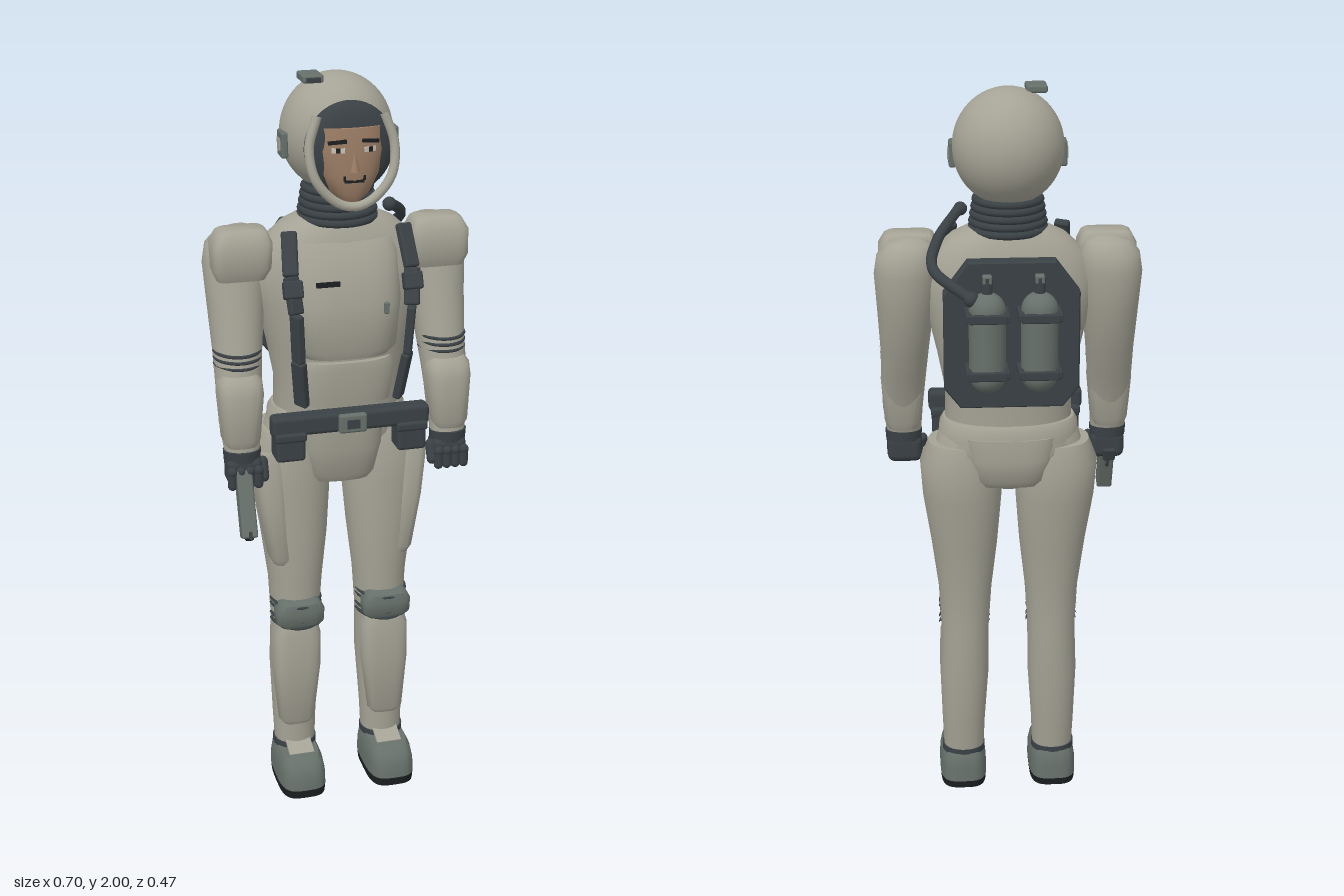
import * as THREE from 'three';
import { toCreasedNormals } from 'three/addons/utils/BufferGeometryUtils.js';
import { RoundedBoxGeometry } from 'three/addons/geometries/RoundedBoxGeometry.js';

const mat = (name, color) => Object.assign(new THREE.MeshStandardMaterial({ color }), { name });

export function createModel() {
  const suit = mat('suitGrey', 0xa5a395), dark = mat('darkWebbing', 0x3a4145), green = mat('greyGreen', 0x66706a);
  const skin = mat('skin', 0x9c7e66), black = mat('black', 0x1c1f21), white = mat('eyeWhite', 0xc8c4b8);
  const model = new THREE.Group();
  model.name = 'spaceSuitFigure';
  const V = (x, y, z) => new THREE.Vector3(x, y, z);

  function add(name, geo, material, x = 0, y = 0, z = 0) {
    const m = new THREE.Mesh(geo, material);
    m.name = name;
    m.position.set(x, y, z);
    model.add(m);
    return m;
  }
  const box = (name, m, w, h, d, x, y, z, r = 0.006) =>
    add(name, r ? new RoundedBoxGeometry(w, h, d, 2, Math.min(r, w / 3, h / 3, d / 3)) : new THREE.BoxGeometry(w, h, d), m, x, y, z);
  // rounded cross-sections [y, centreX, centreZ, radiusX, radiusZ] from bottom to top; power sets squareness
  function loft(name, m, rows, power = 2, side = 1, seg = 36) {
    const pos = [], idx = [], p = 2 / power;
    const sp = v => Math.sign(v) * Math.abs(v) ** p;
    for (const [y, cx, cz, rx, rz] of rows)
      for (let j = 0; j < seg; j++) {
        const t = (j / seg) * Math.PI * 2;
        pos.push(cx * side + rx * sp(Math.cos(t)), y, cz + rz * sp(Math.sin(t)));
      }
    const n = rows.length, top = n * seg + 1, last = rows[n - 1];
    pos.push(rows[0][1] * side, rows[0][0], rows[0][2], last[1] * side, last[0], last[2]);
    for (let j = 0; j < seg; j++) {
      const k = (j + 1) % seg, e = (n - 1) * seg;
      for (let i = 0; i < n - 1; i++) {
        const a = i * seg + j, b = i * seg + k;
        idx.push(a, a + seg, b, b, a + seg, b + seg);
      }
      idx.push(top - 1, j, k, top, e + k, e + j);
    }
    const g = new THREE.BufferGeometry();
    g.setAttribute('position', new THREE.Float32BufferAttribute(pos, 3));
    g.setIndex(idx);
    return add(name, toCreasedNormals(g, 0.7), m);
  }
  // flat bar from a to b
  function bar(name, m, a, b, w, d) {
    const o = box(name, m, w, a.distanceTo(b), d, 0, 0, 0);
    o.position.copy(a).lerp(b, 0.5);
    o.quaternion.setFromUnitVectors(V(0, 1, 0), b.clone().sub(a).normalize());
    return o;
  }
  const tube = (name, m, pts, r) => add(name, new THREE.TubeGeometry(new THREE.CatmullRomCurve3(pts), 40, r, 10), m);
  // thin fold around the front of a limb
  function fold(name, x, y, z, rx, rz) {
    const g = new THREE.TorusGeometry(1, 0.07, 6, 20, Math.PI);
    g.rotateX(Math.PI / 2);
    add(name, g, dark, x, y, z).scale.set(rx, 0.06, rz);
  }

  // torso and pelvis
  loft('torso', suit, [[1.08, 0, .015, .17, .11], [1.2, 0, .02, .168, .117], [1.3, 0, .02, .187, .125], [1.42, 0, .022, .215, .128],
    [1.5, 0, .022, .228, .122], [1.57, 0, .022, .2, .108], [1.615, 0, .022, .15, .095], [1.64, 0, .022, .095, .08]], 2.2);
  loft('chestPlate', suit, [[1.285, 0, .06, .12, .105], [1.305, 0, .06, .14, .112], [1.43, 0, .06, .148, .125], [1.55, 0, .06, .145, .085], [1.585, 0, .06, .135, .065]], 3.2);
  loft('abdomenPlate', suit, [[1.15, 0, .05, .13, .095], [1.25, 0, .05, .14, .11], [1.272, 0, .05, .13, .108]], 3);
  loft('pelvis', suit, [[.93, 0, 0, .05, .05], [.98, 0, 0, .13, .095], [1.04, 0, 0, .2, .11], [1.09, 0, .005, .185, .112], [1.12, 0, .01, .172, .105]], 2.2);
  loft('waistBand', suit, [[1.07, 0, .008, .188, .12], [1.11, 0, .008, .184, .12], [1.125, 0, .01, .175, .113]], 2.2);
  loft('frontHipPlate', suit, [[.92, 0, .06, .075, .045], [.94, 0, .06, .09, .056], [1.02, 0, .06, .106, .075], [1.1, 0, .06, .112, .08]], 3);
  loft('rearHipPlate', suit, [[.95, 0, -.04, .085, .052], [.97, 0, -.04, .1, .068], [1.03, 0, -.04, .12, .078], [1.09, 0, -.04, .13, .074]], 3);
  box('chestSlot', black, .06, .012, .008, -.06, 1.49, .167, 0);
  box('chestTab', green, .014, .03, .012, .09, 1.42, .177, .003);

  // belt
  box('belt', dark, .42, .054, .05, 0, 1.118, .155, .012);
  box('buckle', green, .074, .05, .02, 0, 1.118, .185);
  box('buckleInset', dark, .034, .024, .008, 0, 1.118, .194, 0);

  // neck rings
  add('neck', new THREE.CylinderGeometry(.082, .09, .12, 32), dark, 0, 1.67, .025);
  for (let i = 0; i < 5; i++) {
    const g = new THREE.TorusGeometry(.096 - i * .003, .01, 8, 36);
    g.rotateX(Math.PI / 2);
    add('neckRing', g, dark, 0, 1.63 + i * .019, .025);
  }

  // helmet and face opening
  add('helmet', new THREE.SphereGeometry(.143, 48, 32), suit, 0, 1.843, .014).scale.y = 1.05;
  const hood = add('visorHood', new THREE.SphereGeometry(1, 36, 24), dark, 0, 1.83, .138);
  hood.scale.set(.114, .118, .044);
  hood.rotation.x = .06;
  loft('face', skin, [[1.7, 0, .145, .022, .035], [1.725, 0, .145, .05, .046], [1.77, 0, .145, .073, .05], [1.83, 0, .145, .085, .05], [1.888, 0, .14, .084, .048]], 2.2);
  tube('jawGuard', suit, [V(-.085, 1.915, .155), V(-.108, 1.84, .168), V(-.096, 1.765, .185), V(-.045, 1.708, .19),
    V(0, 1.694, .192), V(.045, 1.708, .19), V(.096, 1.765, .185), V(.108, 1.84, .168), V(.085, 1.915, .155)], .012);
  box('headLamp', green, .054, .02, .072, -.072, 1.987, .036);
  box('headLampLens', dark, .034, .012, .008, -.072, 1.985, .074, 0);
  add('nose', new THREE.ConeGeometry(.013, .05, 8), skin, 0, 1.808, .197);
  box('mouth', black, .05, .007, .008, 0, 1.758, .19, 0);
  box('lowerLip', dark, .024, .005, .008, 0, 1.742, .187, 0);
  for (const s of [-1, 1]) {
    const brow = box('eyebrow', black, .046, .009, .008, s * .042, 1.856, .187, 0);
    brow.rotation.set(0, s * .35, s * -.12);
    box('eye', white, .032, .012, .006, s * .04, 1.836, .189, 0).rotation.y = s * .35;
    box('pupil', black, .011, .012, .008, s * .04, 1.836, .1895, 0).rotation.y = s * .35;
    box('moustacheMark', black, .006, .012, .006, s * .025, 1.766, .191, 0);
    box('earpiece', green, .018, .066, .055, s * .142, 1.823, .033);
    box('earpieceButton', suit, .006, .03, .026, s * .151, 1.823, .033, 0);
  }

  // backpack: plate, bottles, hose
  const plate = new THREE.Shape([[-.17, 1.25], [-.13, 1.2], [.13, 1.2], [.17, 1.25], [.17, 1.5], [.11, 1.58], [-.11, 1.58], [-.17, 1.5]].map(p => new THREE.Vector2(...p)));
  add('backPlate', new THREE.ExtrudeGeometry(plate, { depth: .035, bevelSize: .004, bevelThickness: .006, bevelSegments: 1 }), dark, 0, 0, -.14);
  for (const x of [-.067, .065]) {
    const bottle = add('airBottle', new THREE.CapsuleGeometry(.047, .17, 8, 28), green, x, 1.385, -.182);
    bottle.name = 'airBottle';
    add('bottleNeck', new THREE.CylinderGeometry(.014, .014, .05, 14), dark, x, 1.53, -.182);
    box('bottleValve', green, .024, .022, .026, x, 1.55, -.182, .004);
    for (const y of [1.31, 1.46]) {
      box('bottleClamp', dark, .096, .024, .013, x, y, -.229, .004);
      box('clampArm', dark, .016, .02, .1, x - .048, y, -.178, .004);
      box('clampArm', dark, .016, .02, .1, x + .048, y, -.178, .004);
    }
  }
  const hose = [V(.105, 1.5, -.185), V(.197, 1.56, -.12), V(.185, 1.61, -.03), V(.125, 1.665, .085)];
  tube('airHose', dark, hose, .014);
  add('hoseFitting', new THREE.SphereGeometry(.02, 14, 10), dark, .105, 1.5, -.185);
  add('hoseFitting', new THREE.SphereGeometry(.018, 14, 10), dark, .12, 1.665, .088);

  for (const s of [-1, 1]) {
    // harness
    const path = [V(s * .148, 1.62, .115), V(s * .157, 1.52, .17), V(s * .15, 1.43, .2), V(s * .143, 1.3, .19), V(s * .128, 1.17, .16)];
    for (let i = 0; i < 4; i++) bar('harnessStrap', dark, path[i], path[i + 1], .04, .022);
    box('harnessBuckle', dark, .05, .045, .03, s * .155, 1.49, .185).rotation.x = -.4;
    box('beltPouch', dark, .078, .075, .07, s * .162, 1.06, .148, .01);
    box('pouchFlap', dark, .084, .025, .076, s * .162, 1.09, .15, .008);

    // arms
    loft('arm', suit, [[1.04, .278, .117, .046, .036], [1.12, .28, .102, .054, .046], [1.22, .276, .078, .06, .06], [1.3, .272, .05, .064, .07],
      [1.42, .268, .02, .074, .076], [1.52, .266, .002, .082, .074], [1.57, .262, 0, .078, .066], [1.6, .256, 0, .056, .046], [1.612, .25, 0, .025, .02]], 2.1, s);
    loft('shoulderPad', suit, [[1.49, .262, .05, .062, .042], [1.52, .26, .05, .076, .054], [1.585, .258, .05, .077, .054], [1.612, .256, .045, .064, .042], [1.618, .255, .045, .054, .034]], 5, s);
    loft('forearmPlate', suit, [[1.06, .28, .11, .04, .042], [1.08, .28, .11, .05, .05], [1.2, .278, .1, .06, .06], [1.235, .278, .095, .057, .055], [1.25, .278, .09, .045, .045]], 3, s);
    for (const y of [1.268, 1.285, 1.302]) fold('elbowFold', s * .274, y, .055, .06, .072);

    // gloves
    const cuff = new THREE.CylinderGeometry(.05, .048, .03, 24);
    add('gloveCuff', cuff, dark, s * .279, 1.035, .118).scale.z = .85;
    box('palm', dark, .094, .075, .072, s * .277, .995, .122, .02);
    for (let i = 0; i < 4; i++) {
      add('finger', new THREE.CapsuleGeometry(.0125, .032, 4, 12), dark, s * (.244 + i * .023), .978, .156);
      add('knuckle', new THREE.SphereGeometry(.0135, 12, 8), dark, s * (.244 + i * .023), 1.0, .157);
    }
    const thumb = add('thumb', new THREE.CapsuleGeometry(.014, .04, 4, 12), dark, s * .228, .995, .14);
    thumb.rotation.x = -.4;

    // legs
    loft('leg', suit, [[.08, .126, .033, .055, .052], [.2, .126, .028, .06, .06], [.36, .123, .022, .068, .073], [.5, .12, .022, .066, .072],
      [.62, .119, .022, .073, .078], [.76, .12, .016, .09, .09], [.9, .125, .004, .106, .1], [1, .13, 0, .108, .104], [1.06, .125, 0, .09, .09]], 2.15, s);
    loft('thighPlate', suit, [[.68, .162, .045, .026, .045], [.7, .167, .045, .032, .055], [.85, .186, .045, .038, .058], [.98, .195, .045, .042, .055], [1.01, .195, .045, .034, .045]], 3, s);
    loft('kneePad', green, [[.497, .122, .085, .054, .03], [.51, .122, .085, .066, .038], [.545, .122, .085, .068, .04], [.567, .122, .085, .056, .034], [.575, .122, .08, .045, .025]], 3.4, s);
    for (const y of [.498, .515, .545, .56]) fold('kneeFold', s * .121, y, .03, .067, .088);
    loft('shinPlate', suit, [[.18, .128, .05, .038, .038], [.195, .128, .05, .05, .046], [.36, .125, .05, .066, .053], [.46, .124, .05, .065, .055], [.495, .124, .05, .054, .047]], 3.6, s);

    // boots
    loft('bootSole', black, [[0, .128, .078, .064, .11], [.024, .128, .078, .066, .113]], 3.6, s);
    loft('boot', green, [[.022, .128, .077, .066, .113], [.06, .128, .077, .065, .11], [.09, .128, .072, .06, .102], [.104, .128, .065, .052, .088]], 3.6, s);
    box('bootTongue', suit, .07, .008, .055, s * .127, .113, .1, 0).rotation.x = .35;
    loft('ankleBand', dark, [[.1, .127, .033, .06, .057], [.118, .127, .033, .06, .057]], 2.2, s);
  }

  // sidearm held in the right hand
  bar('gunBody', green, V(-.283, 1.0, .145), V(-.283, .835, .21), .042, .042);
  bar('gunMuzzle', black, V(-.283, .85, .204), V(-.283, .828, .213), .022, .022);
  bar('gunSight', dark, V(-.283, .86, .226), V(-.283, .84, .234), .008, .012);
  bar('gunGrip', dark, V(-.283, .99, .15), V(-.283, .965, .085), .034, .04);
  const guard = add('triggerGuard', new THREE.TorusGeometry(.02, .004, 8, 20), dark, -.283, .935, .145);
  guard.rotation.y = Math.PI / 2;

  return model;
}
